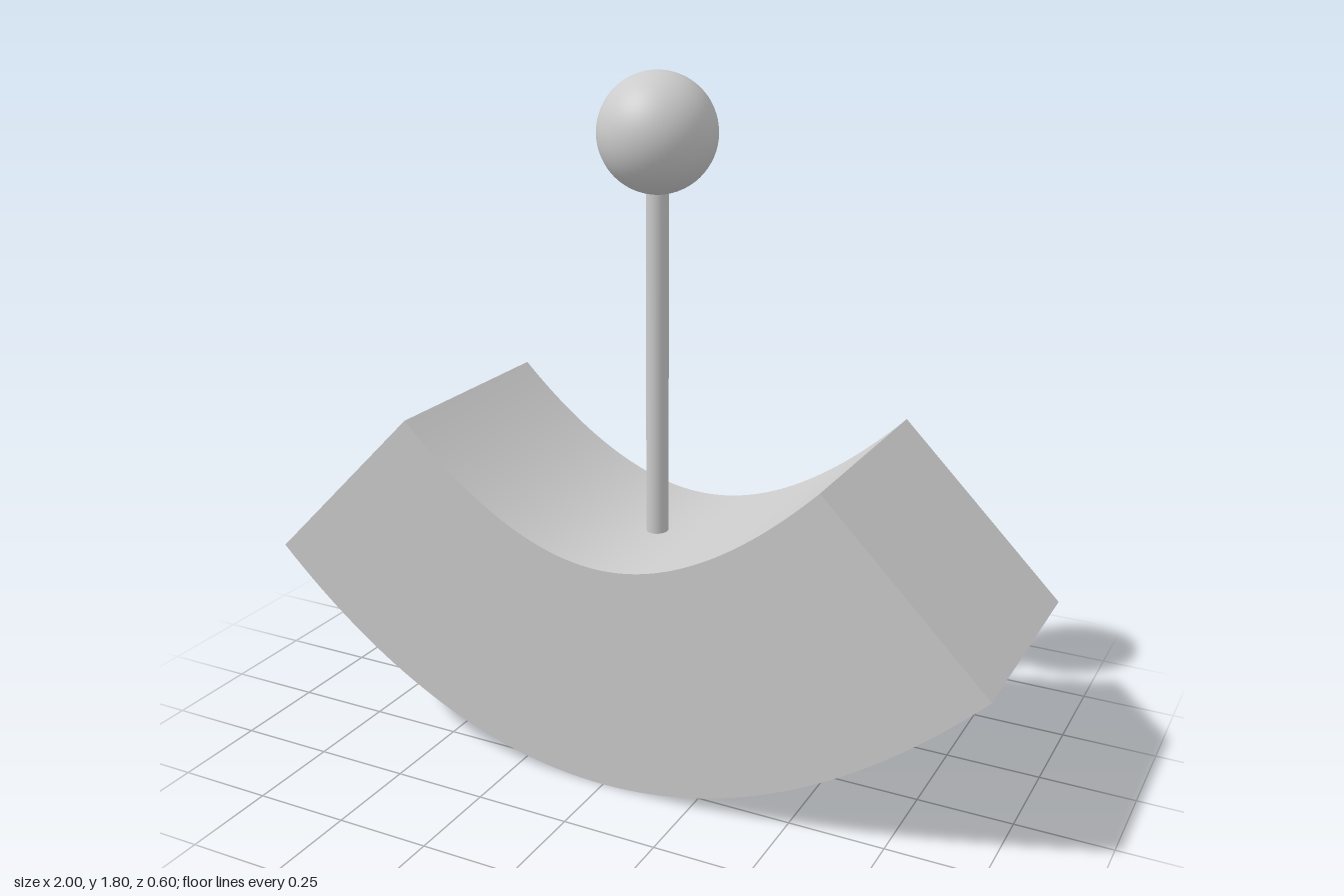
import * as THREE from 'three';
import { toCreasedNormals } from 'three/addons/utils/BufferGeometryUtils.js';

const material = new THREE.MeshStandardMaterial({ color: 0xcccccc });

function addPart(group, name, geometry, x = 0, y = 0, z = 0) {
  const mesh = new THREE.Mesh(geometry, material);
  mesh.name = name;
  mesh.position.set(x, y, z);
  group.add(mesh);
}

// Square bar swept along a parabolic path whose ends rise at 45 degrees
function rockerGeometry(width) {
  const half = width / 2, reach = 1 - half * Math.SQRT1_2;
  const path = new THREE.QuadraticBezierCurve(
    new THREE.Vector2(-reach, half + reach / 2),
    new THREE.Vector2(0, half - reach / 2),
    new THREE.Vector2(reach, half + reach / 2));
  const lower = [], upper = [], steps = 64;
  for (let i = 0; i <= steps; i++) {
    const p = path.getPoint(i / steps), t = path.getTangent(i / steps);
    const normal = new THREE.Vector2(-t.y, t.x);
    lower.push(p.clone().addScaledVector(normal, -half));
    upper.push(p.clone().addScaledVector(normal, half));
  }
  const outline = new THREE.Shape([...lower, ...upper.reverse()]);
  const geometry = new THREE.ExtrudeGeometry(outline, { depth: width, bevelEnabled: false });
  geometry.translate(0, 0, -half);
  return toCreasedNormals(geometry, 0.5);
}

export function createModel() {
  const group = new THREE.Group();
  group.name = 'rockerWithBall';
  const width = 0.604, ballRadius = 0.15, ballY = 1.646;

  addPart(group, 'rockerBase', rockerGeometry(width));

  // Thin rod from inside the base up into the ball
  const rodBottom = 0.55, rodTop = 1.52;
  addPart(group, 'rod', new THREE.CylinderGeometry(0.029, 0.029, rodTop - rodBottom, 32),
    0.004, (rodBottom + rodTop) / 2, 0);

  addPart(group, 'ball', new THREE.SphereGeometry(ballRadius, 48, 32), 0.004, ballY, 0);
  return group;
}
